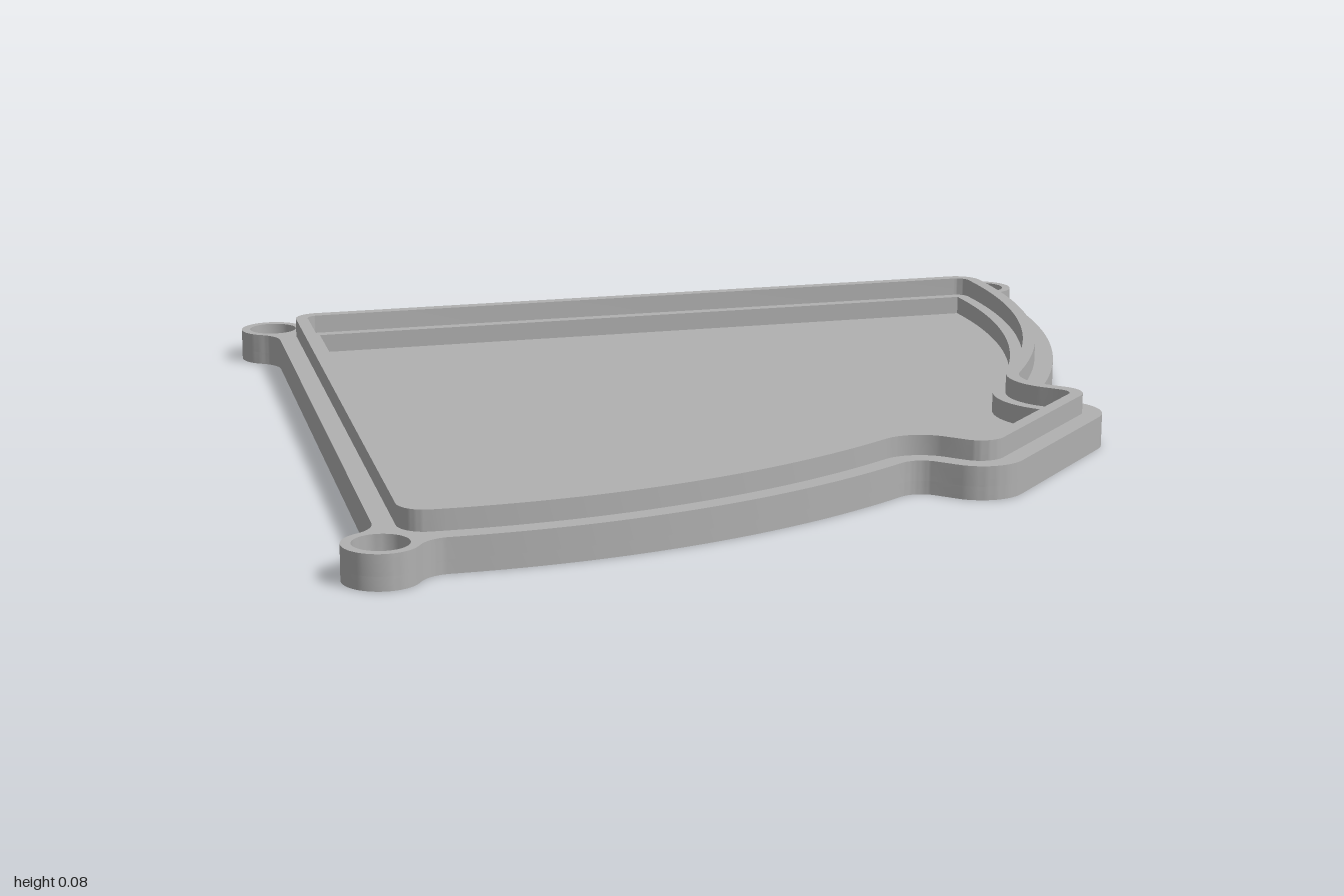
import * as THREE from 'three';
import { toCreasedNormals } from 'three/addons/utils/BufferGeometryUtils.js';

const S = new THREE.Vector2(-0.6, 0);          // apex of the sector
const C = new THREE.Vector2(0.2, 0.845);       // outer corner of the sector
const R = S.distanceTo(C);                     // sector radius
const A = Math.atan2(C.y - S.y, C.x - S.x);    // sector half angle
const TAB = new THREE.Vector2(0.68, 0.145);    // corner of the tab
const BLEND = 0.11;                            // fillet between tab and arc
const EAR = 0.053, HOLE = 0.039, NECK = 0.05;  // ear, screw hole and neck fillet radii
const E1 = new THREE.Vector2(0.2, 0.947);
const E2 = new THREE.Vector2(-0.7, 0);
const WALL = 0.07, LIP_OUT = 0.04, LIP_IN = 0.02;
const FLOOR_Y = 0.02, RIM_Y = 0.05, LIP_Y = 0.08;

const polar = (c, r, a) => new THREE.Vector2(c.x + r * Math.cos(a), c.y + r * Math.sin(a));
const dir = (from, to) => Math.atan2(to.y - from.y, to.x - from.x);

// Adds an arc, turning counterclockwise (turn = 1) or clockwise (turn = -1)
function arc(points, c, r, a0, a1, turn = 1, n = 14) {
  const full = Math.PI * 2;
  const sweep = ((((a1 - a0) * turn) % full) + full) % full;
  for (let i = 0; i <= n; i++) {
    const p = polar(c, r, a0 + turn * sweep * i / n);
    const last = points[points.length - 1];
    if (!last || last.distanceTo(p) > 1e-4) points.push(p);
  }
}

// Outline of the sector with its tab, grown outward by d, optionally with ears
function outline(d, ears = false) {
  const pts = [];
  const fy = TAB.y + BLEND;
  const f = new THREE.Vector2(S.x + Math.sqrt((R + BLEND) ** 2 - fy ** 2), fy);
  arc(pts, TAB, d, 0, Math.PI / 2);
  arc(pts, f, BLEND - d, -Math.PI / 2, dir(f, S), -1);
  const normal = A + Math.PI / 2;
  if (!ears) {
    arc(pts, S, R + d, dir(S, f), A, 1, 32);
    arc(pts, C, d, A, normal);
    arc(pts, S, d, normal, Math.PI);
  } else {
    // Neck fillet centres: one on the arc side, two on the straight side
    const r1 = R + d + NECK, r2 = EAR + NECK, D = S.distanceTo(E1);
    const a1 = dir(S, E1) - Math.acos((D * D + r1 * r1 - r2 * r2) / (2 * D * r1));
    const f1 = polar(S, r1, a1);
    const n = polar(new THREE.Vector2(), 1, normal);
    const t = polar(new THREE.Vector2(), 1, A);
    const neck = (e, side) => {
      const h = d + NECK - e.clone().sub(S).dot(n);
      return e.clone().addScaledVector(n, h).addScaledVector(t, side * Math.sqrt(r2 * r2 - h * h));
    };
    const f2 = neck(E1, -1), f3 = neck(E2, 1);
    arc(pts, S, R + d, dir(S, f), a1, 1, 32);
    arc(pts, f1, NECK, a1 + Math.PI, dir(f1, E1), -1);
    arc(pts, E1, EAR, dir(E1, f1), dir(E1, f2), 1, 24);
    arc(pts, f2, NECK, dir(f2, E1), A - Math.PI / 2, -1);
    arc(pts, f3, NECK, A - Math.PI / 2, dir(f3, E2), -1);
    arc(pts, E2, EAR, dir(E2, f3), Math.PI);
  }
  // Mirror the half to close the loop
  const mirrored = pts.filter(p => p.y > 1e-4).reverse().map(p => new THREE.Vector2(p.x, -p.y));
  return pts.concat(mirrored);
}

export function createModel() {
  const group = new THREE.Group();
  const grey = new THREE.MeshStandardMaterial({ color: 0xb0b0b0 });
  grey.name = 'grey';

  // Extrudes an outline with holes between two heights
  function slab(name, points, holes, y0, y1) {
    const shape = new THREE.Shape(points);
    holes.forEach(h => shape.holes.push(new THREE.Path(h)));
    const geo = new THREE.ExtrudeGeometry(shape, { depth: y1 - y0, bevelEnabled: false });
    geo.rotateX(-Math.PI / 2);
    geo.translate(0, y0, 0);
    const mesh = new THREE.Mesh(toCreasedNormals(geo, 0.5), grey);
    mesh.name = name;
    group.add(mesh);
  }

  // Blind screw holes in the three ears
  const screwHoles = [E1, E2, new THREE.Vector2(E1.x, -E1.y)].map(e => {
    const pts = [];
    for (let i = 0; i < 32; i++) pts.push(polar(e, HOLE, i / 32 * Math.PI * 2));
    return pts;
  });

  slab('floor', outline(WALL, true), [], 0, FLOOR_Y);
  slab('rimWithEars', outline(WALL, true), [outline(0), ...screwHoles], FLOOR_Y, RIM_Y);
  slab('raisedLip', outline(LIP_OUT), [outline(LIP_IN)], RIM_Y, LIP_Y);
  return group;
}
